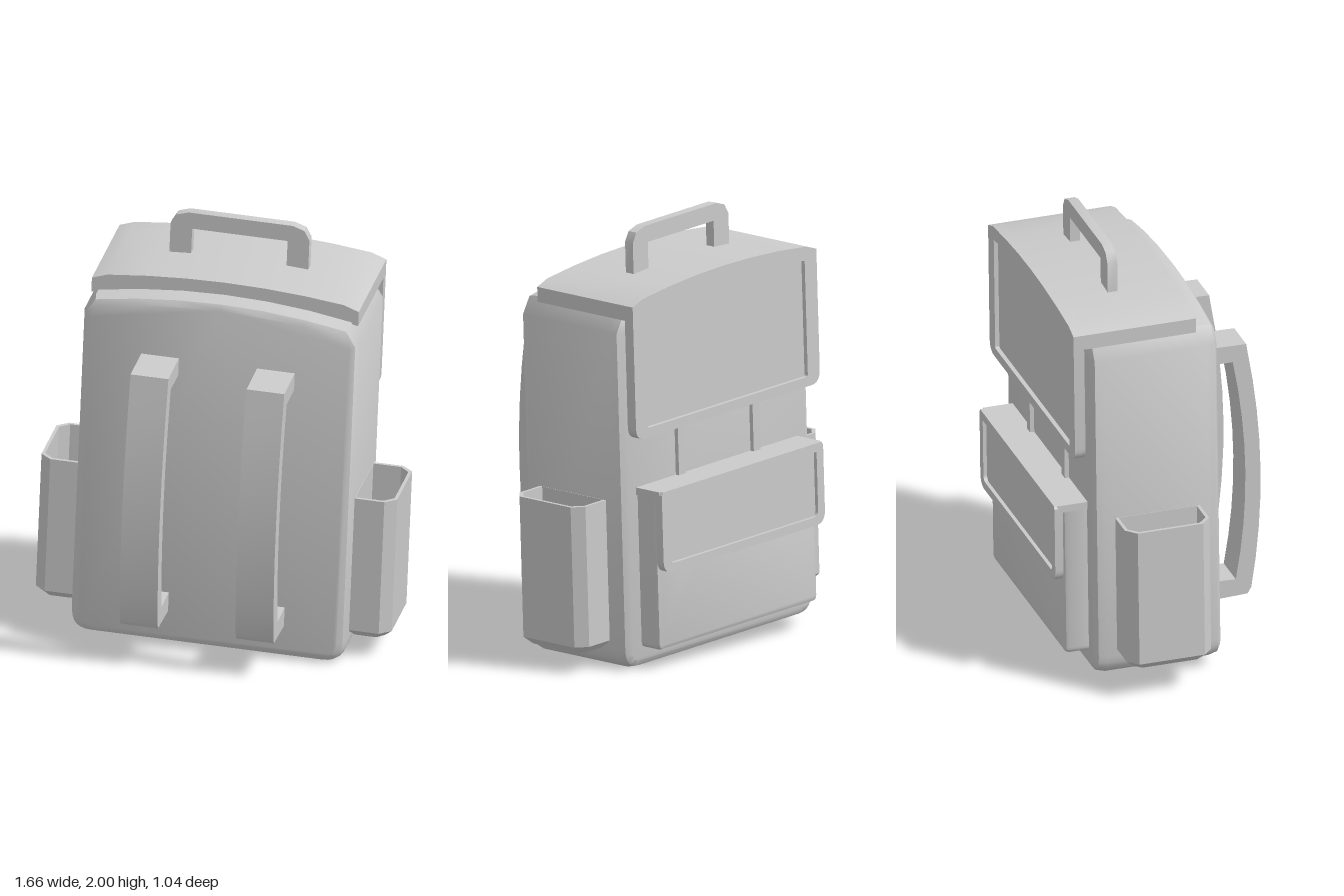
import * as THREE from 'three';
import { toCreasedNormals, mergeVertices } from 'three/addons/utils/BufferGeometryUtils.js';

const CX = -0.025; // middle of the pack in its own, slightly leaning frame
const material = new THREE.MeshStandardMaterial({ color: 0xcccccc });

function addMesh(parent, name, geometry, crease = 0.55) {
  const mesh = new THREE.Mesh(toCreasedNormals(geometry, crease), material);
  mesh.name = name;
  parent.add(mesh);
  return mesh;
}

// Panel outline: rounded lower corners, cut upper corners and an arched top
function panel(w, bottom, side, mid, r, cutX = 0, cutY = 0, Type = THREE.Shape) {
  const s = new Type();
  s.moveTo(-w + r, bottom);
  s.lineTo(w - r, bottom);
  s.quadraticCurveTo(w, bottom, w, bottom + r);
  s.lineTo(w, side - cutY);
  s.lineTo(w - cutX, side);
  s.quadraticCurveTo(0, 2 * mid - side, -w + cutX, side);
  s.lineTo(-w, side - cutY);
  s.lineTo(-w, bottom + r);
  s.quadraticCurveTo(-w, bottom, -w + r, bottom);
  return s;
}

// Extrudes a front outline between two depths; the bevel stays inside them
function slab(shape, zBack, zFront, bevel = null, curveSegments = 6) {
  const t = bevel ? bevel.thickness : 0;
  const g = new THREE.ExtrudeGeometry(shape, {
    depth: zFront - zBack - 2 * t, curveSegments,
    bevelEnabled: !!bevel, bevelThickness: t,
    bevelSize: bevel ? bevel.size : 0, bevelOffset: bevel ? -bevel.size : 0,
    bevelSegments: bevel ? bevel.segments : 0,
  });
  return g.translate(CX, 0, zBack + t);
}

// Open-topped side pocket: outline rings run up the outside and down the inside
function sidePocketGeometry() {
  const u = 0.1, h = 0.2;
  const outline = [[-u, -h], [0.05, -h], [u, -h + 0.045], [u, h - 0.045], [0.05, h], [-u, h]];
  const rings = [[0.125, 0.035], [0.16, 0], [0.815, 0], [0.815, 0.015], [0.16, 0.015]];
  const n = outline.length, pos = [], index = [];
  for (const [y, inset] of rings)
    for (const [x, z] of outline) pos.push(x * (1 - inset / u), y, z * (1 - inset / h));
  for (let i = 0; i < rings.length - 1; i++)
    for (let j = 0; j < n; j++) {
      const a = i * n + j, b = i * n + (j + 1) % n;
      index.push(a, a + n, b + n, a, b + n, b);
    }
  const low = pos.length / 3, floor = low + 1, last = (rings.length - 1) * n;
  pos.push(0, 0.125, 0, 0, 0.16, 0);
  for (let j = 0; j < n; j++) {
    const k = (j + 1) % n;
    index.push(low, j, k, floor, last + k, last + j);
  }
  const g = new THREE.BufferGeometry();
  g.setAttribute('position', new THREE.Float32BufferAttribute(pos, 3));
  g.setIndex(index);
  return g;
}

export function createModel() {
  const model = new THREE.Group();
  model.name = 'backpack';
  const pack = new THREE.Group();
  pack.name = 'leaningPack';
  pack.rotation.z = -0.04;
  model.add(pack);

  // Main body with rounded edges and arched top
  addMesh(pack, 'body', slab(panel(0.633, 0.027, 1.685, 1.74, 0.1, 0.05, 0.08),
    -0.36, 0.24, { thickness: 0.055, size: 0.035, segments: 2 }), 0.7);

  // Lid: an arched slab lying over the body
  const lid = new THREE.Shape();
  lid.moveTo(-0.615, 1.67);
  lid.quadraticCurveTo(0, 1.80, 0.615, 1.67);
  lid.lineTo(0.615, 1.74);
  lid.lineTo(0.545, 1.765);
  lid.quadraticCurveTo(0, 1.835, -0.545, 1.765);
  lid.lineTo(-0.615, 1.74);
  addMesh(pack, 'lid', slab(lid, -0.42, 0.14));

  // Lid flap hanging down the back, with a raised rim
  const flap = () => panel(0.615, 1.115, 1.765, 1.80, 0.06, 0.07, 0.025);
  addMesh(pack, 'lidFlapPanel', slab(flap(), -0.42, -0.39));
  const rim = flap();
  rim.holes.push(panel(0.535, 1.16, 1.7, 1.755, 0.01, 0, 0, THREE.Path));
  addMesh(pack, 'lidFlapRim', slab(rim, -0.44, -0.42));

  // Carrying handle with cut corners
  const handle = new THREE.Shape();
  [[-0.32, 1.76], [-0.22, 1.76], [-0.22, 1.915], [0.22, 1.915], [0.22, 1.76], [0.32, 1.76],
    [0.32, 1.93], [0.295, 1.975], [0.24, 1.993], [-0.24, 1.993], [-0.295, 1.975], [-0.32, 1.93],
  ].forEach(([x, y], i) => (i ? handle.lineTo(x, y) : handle.moveTo(x, y)));
  addMesh(pack, 'carryHandle', slab(handle, -0.18, -0.133));

  // Bowed shoulder straps, drawn from the side and extruded across
  const strap = new THREE.Shape();
  strap.moveTo(0.2, 0.185);
  strap.lineTo(0.45, 0.195);
  strap.lineTo(0.468, 0.225);
  strap.quadraticCurveTo(0.572, 0.8, 0.465, 1.405);
  strap.lineTo(0.46, 1.44);
  strap.lineTo(0.2, 1.445);
  strap.lineTo(0.2, 1.36);
  strap.lineTo(0.395, 1.36);
  strap.quadraticCurveTo(0.5, 0.8, 0.395, 0.275);
  strap.lineTo(0.2, 0.28);
  for (const side of [-1, 1]) {
    const g = new THREE.ExtrudeGeometry(strap, { depth: 0.174, bevelEnabled: false, curveSegments: 8 });
    g.translate(0, 0, -0.087).rotateY(-Math.PI / 2).translate(CX + side * 0.267, 0, 0);
    addMesh(pack, side > 0 ? 'leftShoulderStrap' : 'rightShoulderStrap', g);
  }

  // Open side pockets
  for (const side of [-1, 1]) {
    const pocket = addMesh(pack, side > 0 ? 'leftSidePocket' : 'rightSidePocket', sidePocketGeometry(), 0.4);
    pocket.position.set(CX + side * 0.72, 0, -0.06);
    if (side < 0) pocket.rotation.y = Math.PI;
  }

  // Back pocket
  addMesh(pack, 'backPocket', slab(panel(0.53, 0.12, 0.835, 0.835, 0.03),
    -0.47, -0.33, { thickness: 0.02, size: 0.02, segments: 2 }));

  // Back pocket flap: top ledge, hanging panel and raised rim
  const ledge = new THREE.BoxGeometry(1.08, 0.035, 0.145).translate(CX, 0.8525, -0.4275);
  addMesh(pack, 'pocketFlapTop', ledge);
  const pocketFlap = () => panel(0.54, 0.49, 0.87, 0.87, 0.06, 0.01, 0.015);
  addMesh(pack, 'pocketFlapPanel', slab(pocketFlap(), -0.5, -0.478));
  const pocketRim = pocketFlap();
  pocketRim.holes.push(panel(0.495, 0.53, 0.83, 0.83, 0.03, 0, 0, THREE.Path));
  addMesh(pack, 'pocketFlapRim', slab(pocketRim, -0.517, -0.5));

  // Narrow webbing between lid flap and back pocket
  for (const side of [-1, 1]) {
    const web = new THREE.BoxGeometry(0.045, 0.4, 0.04).translate(CX + side * 0.25, 1.01, -0.36);
    addMesh(pack, side > 0 ? 'leftWebbing' : 'rightWebbing', web);
  }
  return model;
}
